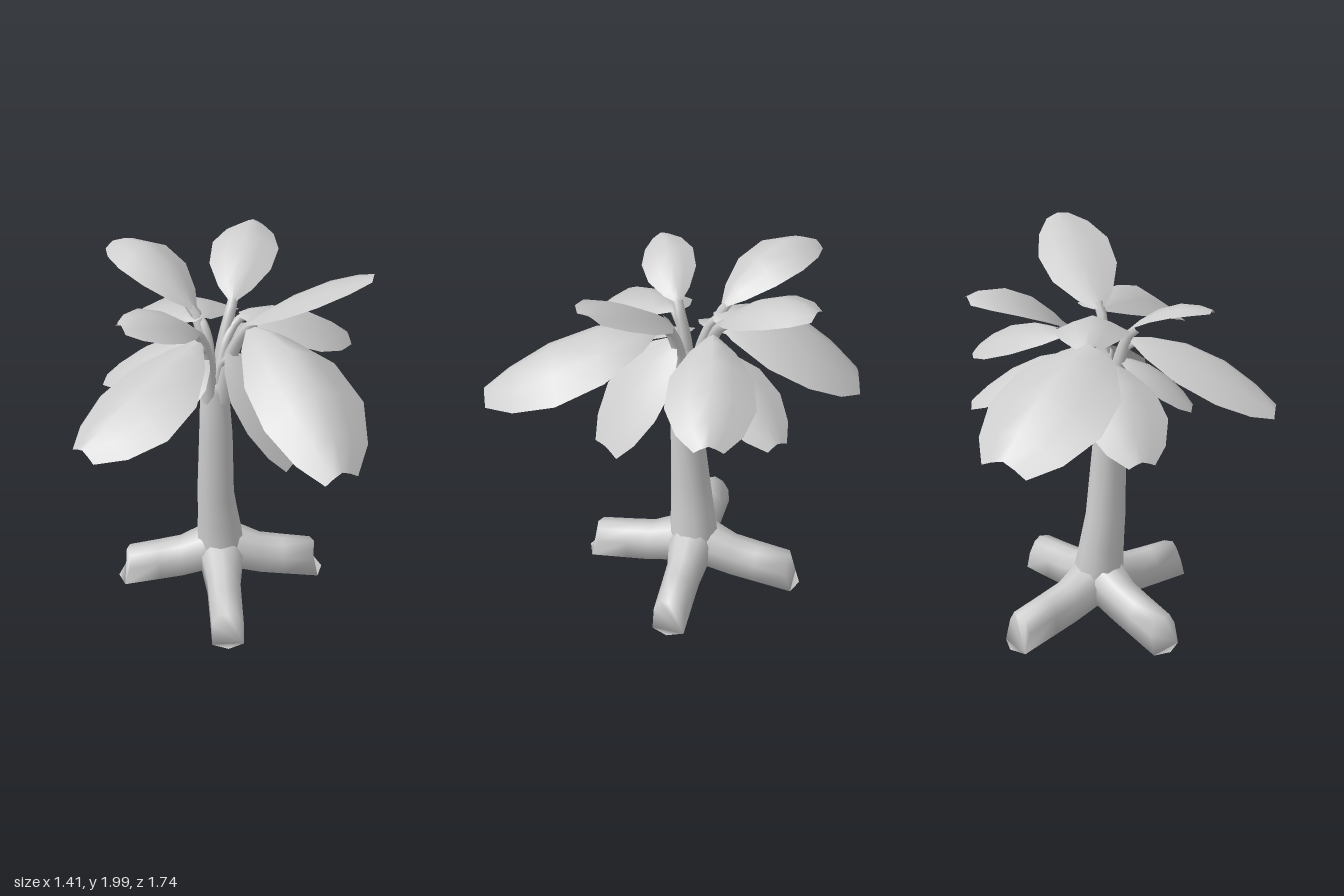
import * as THREE from 'three';

const grey = new THREE.MeshStandardMaterial({ color: 0xcccccc });
const leafGrey = new THREE.MeshStandardMaterial({ color: 0xcccccc, side: THREE.DoubleSide });
const V = (x, y, z) => new THREE.Vector3(x, y, z);

function indexed(points, idx) {
  const g = new THREE.BufferGeometry().setFromPoints(points);
  g.setIndex(idx);
  g.computeVertexNormals();
  return g;
}

// Skin through rings of points, with end caps
function loft(rings) {
  const n = rings[0].length, pts = rings.flat(), idx = [];
  for (let j = 0; j < rings.length - 1; j++) {
    for (let i = 0; i < n; i++) {
      const a = j * n + i, b = j * n + (i + 1) % n;
      idx.push(a, b, a + n, b, b + n, a + n);
    }
  }
  const last = (rings.length - 1) * n;
  for (let i = 1; i < n - 1; i++) {
    idx.push(0, i + 1, i, last, last + i, last + i + 1);
  }
  return indexed(pts, idx);
}

// Arched leaf blade: a curved midrib with drooping sides and a blunt tip
function leafGeometry({ base, tip, w, lift, droop, bank = 0, bend = 0, blunt = 0.32 }) {
  const a = V(...base), b = V(...tip);
  const side = V(b.z - a.z, 0, a.x - b.x).normalize();
  const mid = a.clone().lerp(b, 0.5).add(V(0, lift * 2, 0)).addScaledVector(side, bend * 2);
  const rib = new THREE.QuadraticBezierCurve3(a, mid, b);
  const rows = [[0, 0.12], [0.12, 0.5], [0.35, 0.92], [0.62, 1], [0.85, 0.56 + blunt / 2], [1, blunt]];
  const cols = [-1, -0.5, 0, 0.5, 1], pts = [], idx = [];
  rows.forEach(([t, k], j) => cols.forEach((s, i) => {
    const p = rib.getPoint(t).addScaledVector(side, s * k * w);
    p.y += (bank * s - droop * Math.pow(Math.abs(s), 1.3)) * k * w;
    pts.push(p);
    if (j && i) {
      const c = j * 5 + i;
      idx.push(c - 6, c - 1, c - 5, c - 5, c - 1, c);
    }
  }));
  return indexed(pts, idx);
}

// Tube that narrows from its foot to its end
function taperedTube(path, footRadius, endRadius) {
  const segments = 8, sides = 6;
  const g = new THREE.TubeGeometry(path, segments, footRadius, sides);
  const p = g.attributes.position, v = V(0, 0, 0);
  for (let i = 0; i < p.count; i++) {
    const t = Math.floor(i / (sides + 1)) / segments;
    v.fromBufferAttribute(p, i).lerp(path.getPointAt(t), t * (1 - endRadius / footRadius));
    p.setXYZ(i, v.x, v.y, v.z);
  }
  return g;
}

export function createModel() {
  const model = new THREE.Group();
  const add = (name, geometry, material, parent = model) => {
    const m = new THREE.Mesh(geometry, material);
    m.name = name;
    parent.add(m);
    return m;
  };

  // Trunk: y, centre x, centre z, radius x, radius z
  const trunk = [
    [0.11, 0.015, -0.06, 0.11, 0.11], [0.2, 0.015, -0.06, 0.135, 0.135],
    [0.29, 0.01, -0.06, 0.128, 0.13], [0.42, 0, -0.05, 0.114, 0.12],
    [0.6, -0.015, -0.035, 0.1, 0.107], [1, -0.015, -0.01, 0.088, 0.083],
    [1.25, -0.02, -0.03, 0.074, 0.064], [1.3, -0.02, -0.035, 0.058, 0.052],
  ];
  add('trunk', loft(trunk.map(([y, cx, cz, rx, rz]) => Array.from({ length: 10 }, (_, i) => {
    const a = (i + 0.5) / 10 * Math.PI * 2;
    return V(cx + rx * Math.cos(a), y, cz - rz * Math.sin(a));
  }))), grey);

  // Four flat-bottomed stub roots in a cross: distance, low y, high y, half width, end slant
  const root = [
    [0, 0.11, 0.31, 0.11, 0], [0.11, 0.1, 0.29, 0.11, 0], [0.23, 0.05, 0.235, 0.088, 0],
    [0.36, 0.03, 0.212, 0.086, 0], [0.565, 0, 0.185, 0.084, 0.035],
  ];
  // Section corners as fractions of half width and height
  const section = [[1, 0], [1, 0.6], [0.6, 0.95], [0, 1], [-0.6, 0.95], [-1, 0.6], [-1, 0], [0, 0]];
  const rootGeometry = loft(root.map(([z, lo, hi, w, slant]) => section.map(([sx, sy]) =>
    V(w * sx, lo + (hi - lo) * sy, z + slant * (1 - Math.abs(sx) - 1.5 * sy)))));
  ['frontRoot', 'leftRoot', 'backRoot', 'rightRoot'].forEach((name, i) => {
    const r = add(name, rootGeometry, grey);
    r.position.set(0.015, 0, -0.06);
    r.rotation.y = i * Math.PI / 2;
    if (i % 2) {
      r.scale.z = 0.95;
      r.position.y = 0.015;
    }
  });

  // Crown: three tiers of four leaves
  const tiers = {
    upper: [
      { base: [0.13, 1.67, 0.06], tip: [0.68, 1.99, 0.23], w: 0.19, lift: 0.05, droop: 0.25, bank: -0.15 },
      { base: [-0.1, 1.63, 0.05], tip: [-0.46, 1.78, 0.24], w: 0.13, lift: 0.07, droop: 0.45, bank: -0.25 },
      { base: [-0.11, 1.64, -0.17], tip: [-0.5, 1.83, -0.54], w: 0.17, lift: 0.13, droop: 0.45 },
      { base: [0.08, 1.66, -0.2], tip: [0.22, 1.87, -0.66], w: 0.17, lift: 0.1, droop: 0.45 },
    ],
    middle: [
      { base: [0.15, 1.66, 0.07], tip: [0.48, 1.36, 0.85], w: 0.26, lift: 0.13, droop: 0.58, bend: 0.05 },
      { base: [-0.1, 1.58, 0.06], tip: [-0.66, 1.28, 0.5], w: 0.25, lift: 0.08, droop: 0.45, bend: 0.04 },
      { base: [0.11, 1.6, -0.17], tip: [0.68, 1.4, -0.29], w: 0.21, lift: 0.08, droop: 0.55 },
      { base: [-0.07, 1.6, -0.13], tip: [-0.25, 1.27, -0.83], w: 0.32, lift: 0.12, droop: 0.42, bend: 0.02, blunt: 0.4 },
    ],
    lower: [
      { base: [0.04, 1.5, 0.04], tip: [0.36, 1.03, 0.3], w: 0.2, lift: 0.07, droop: 0.2, blunt: 0.46 },
      { base: [-0.06, 1.47, 0.02], tip: [-0.34, 1.24, 0.25], w: 0.14, lift: 0.05, droop: 0.35 },
      { base: [-0.1, 1.5, -0.1], tip: [-0.56, 1.2, -0.28], w: 0.2, lift: 0.07, droop: 0.4 },
      { base: [0.07, 1.5, -0.14], tip: [0.4, 1.25, -0.55], w: 0.18, lift: 0.07, droop: 0.4 },
    ],
  };
  // Stalks: foot height, foot radius and end radius
  const stalks = { upper: [1.2, 0.045, 0.024], middle: [1.34, 0.028, 0.02], lower: [1.27, 0.022, 0.016] };
  for (const [tier, leaves] of Object.entries(tiers)) {
    const group = new THREE.Group();
    group.name = tier + 'Leaves';
    model.add(group);
    const [foot, footRadius, endRadius] = stalks[tier];
    leaves.forEach((leaf, i) => {
      add(`${tier}Leaf${i + 1}`, leafGeometry(leaf), leafGrey, group);
      // Stalk rising out of the trunk and bending into the leaf
      const [x, y, z] = leaf.base;
      const end = V(...leaf.tip).sub(V(x, y, z)).normalize().multiplyScalar(0.04).add(V(x, y - 0.01, z));
      const path = new THREE.CatmullRomCurve3([
        V(-0.02 + x * 0.25, foot, -0.03 + (z + 0.04) * 0.25),
        V(-0.01 + x * 0.5, foot + (y - foot) * 0.55, -0.04 + (z + 0.04) * 0.55),
        V(x * 0.92, y - 0.04, z * 0.95), end,
      ]);
      add(`${tier}Stalk${i + 1}`, taperedTube(path, footRadius, endRadius), grey, group);
    });
  }
  return model;
}
